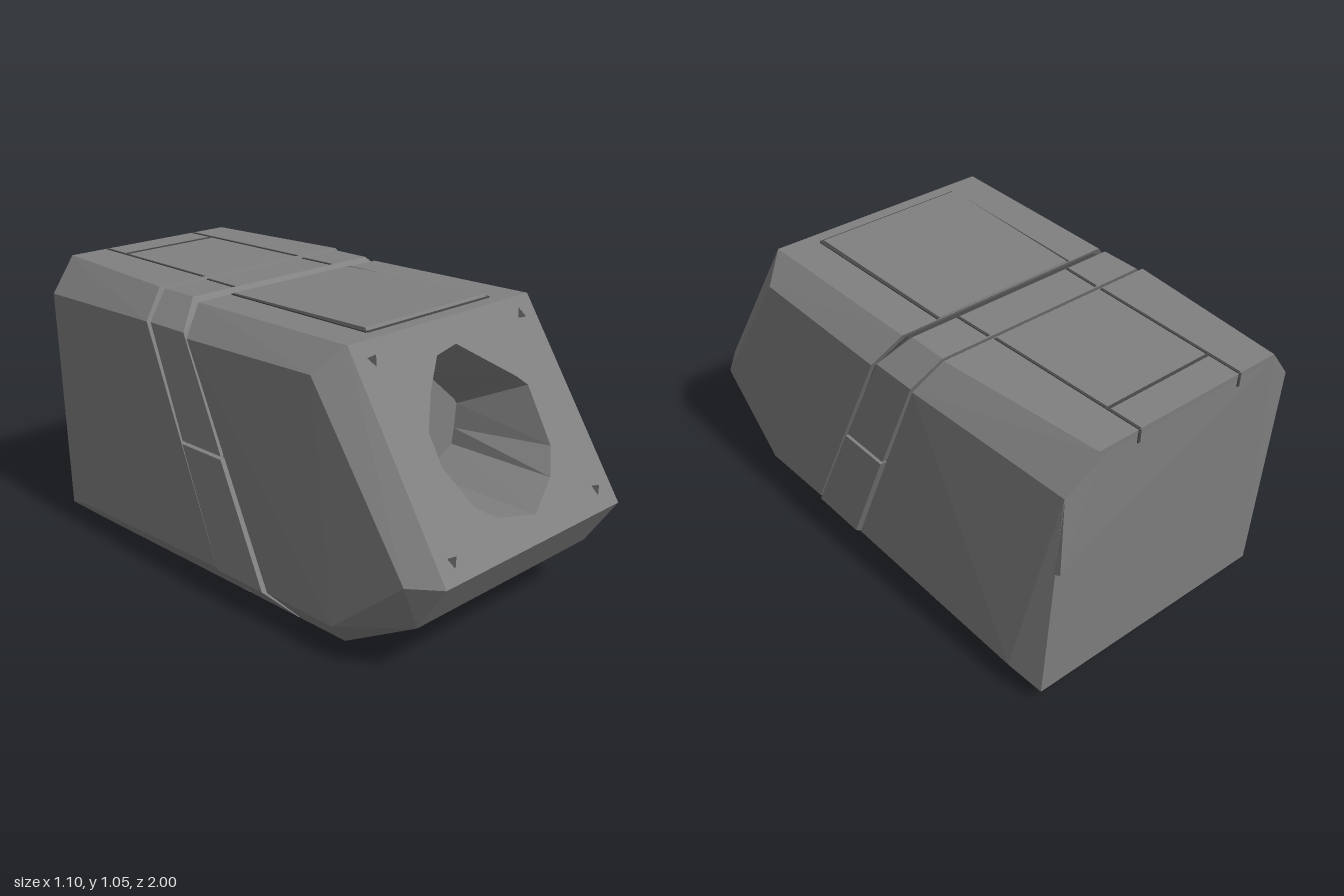
import * as THREE from 'three';
import { ConvexGeometry } from 'three/addons/geometries/ConvexGeometry.js';

export function createModel() {
  const model = new THREE.Group();
  model.name = 'facetedHousing';

  const shell = new THREE.MeshStandardMaterial({ color: 0x808080 });
  shell.name = 'shell grey';
  const seam = new THREE.MeshStandardMaterial({ color: 0x484848 });
  seam.name = 'seam grey';

  const add = (name, geometry, material = shell, parent = model) => {
    const mesh = new THREE.Mesh(geometry, material);
    mesh.name = name;
    parent.add(mesh);
    return mesh;
  };

  // Points given for the +x side are mirrored across the centre
  const mirrored = (points) => points.flatMap(([x, y, z]) =>
    [new THREE.Vector3(x, y, z), new THREE.Vector3(-x, y, z)]);
  const hull = (points) => new ConvexGeometry(mirrored(points));

  // Slanted seams and the sloping front face, as z for a given height
  const seamFront = (y) => 0.335 - 0.48 * y;
  const seamRear = (y) => 0.08 - 0.42 * y;
  const faceZ = (y) => 1 - (y - 0.37) * 0.43 / 0.67;
  const gap = 0.008;

  // Chamfered cross-section lying in a slanted plane
  const section = (zAt, offset, top = 1.05, inset = 0) =>
    [[0.44, top], [0.535, top - 0.1], [0.54, 0.12], [0.43, 0]].map(([x, y]) => {
      const yy = y + (y > 0.5 ? -inset : inset);
      return [x - inset, yy, zAt(yy) + offset];
    });

  // Front block: convex shell with its sloping face left open
  const frontHull = hull([
    [0.45, 1.04, faceZ(1.04)], [0.46, 0.37, 1],
    [0.54, 0.95, 0.5], [0.54, 0.37, 0.9],
    [0.45, 0.19, 0.88], [0.545, 0.12, 0.6], [0.43, 0, 0.55],
    ...section(seamFront, gap, 1.035),
  ]);
  const pos = frontHull.attributes.position;
  const kept = [];
  for (let i = 0; i < pos.count; i += 3) {
    const onFace = [0, 1, 2].every((k) => Math.abs(pos.getZ(i + k) - faceZ(pos.getY(i + k))) < 1e-3);
    if (!onFace) for (let k = 0; k < 3; k++) kept.push(pos.getX(i + k), pos.getY(i + k), pos.getZ(i + k));
  }
  const frontShell = new THREE.BufferGeometry();
  frontShell.setAttribute('position', new THREE.Float32BufferAttribute(kept, 3));
  frontShell.computeVertexNormals();
  add('frontBlock', frontShell);

  // Recess outline, anticlockwise: rim x, y then floor x, y
  const recess = [
    [0.005, 0.96, 0.02, 0.825], [-0.1, 0.945, -0.06, 0.797], [-0.19, 0.86, -0.14, 0.77],
    [-0.27, 0.76, -0.18, 0.69], [-0.275, 0.66, -0.205, 0.64], [-0.21, 0.53, -0.165, 0.56],
    [-0.13, 0.48, -0.125, 0.485], [0.04, 0.445, 0.04, 0.447], [0.18, 0.52, 0.175, 0.522],
    [0.245, 0.6, 0.185, 0.58], [0.26, 0.785, 0.195, 0.67], [0.22, 0.82, 0.18, 0.69],
  ];

  // Sloping front face with the opening cut through it
  const faceLength = Math.hypot(0.67, 0.43);
  const slope = faceLength / 0.67;
  const faceShape = new THREE.Shape([[-0.46, 0], [0.46, 0], [0.45, faceLength], [-0.45, faceLength]]
    .map(([x, y]) => new THREE.Vector2(x, y)));
  faceShape.holes.push(new THREE.Path(recess.map(([x, y]) => new THREE.Vector2(x, (y - 0.37) * slope))));
  const face = new THREE.Group();
  face.name = 'frontFace';
  face.position.set(0, 0.37, 1);
  face.rotation.x = -Math.atan2(0.43, 0.67);
  model.add(face);
  add('facePlate', new THREE.ShapeGeometry(faceShape), shell, face);

  // Small triangular nicks in the four face corners
  for (const [x, y, turn] of [[-0.375, 0.985, 0.6], [0.37, 0.985, 1.5], [-0.39, 0.43, 0.4], [0.375, 0.435, 2.4]]) {
    const nick = add('cornerNick', new THREE.CircleGeometry(0.024, 3), seam, face);
    nick.position.set(x, (y - 0.37) * slope, 0.003);
    nick.rotation.z = turn;
  }

  // Faceted walls and floor of the recess
  const floorZ = 0.48;
  const walls = [];
  const floor = [];
  recess.forEach(([x, y, u, v], i) => {
    const [x2, y2, u2, v2] = recess[(i + 1) % recess.length];
    const a = [x, y, faceZ(y)], b = [x2, y2, faceZ(y2)];
    const c = [u2, v2, floorZ], d = [u, v, floorZ];
    walls.push(...a, ...b, ...c, ...a, ...c, ...d);
    floor.push(...d, ...c, 0, 0.63, floorZ);
  });
  for (const [name, data] of [['recessWalls', walls], ['recessFloor', floor]]) {
    const geometry = new THREE.BufferGeometry();
    geometry.setAttribute('position', new THREE.Float32BufferAttribute(data, 3));
    geometry.computeVertexNormals();
    add(name, geometry);
  }

  // Slanted middle band in two pieces, with a narrow split at mid height
  const band = (y, x) => [[x, y, seamFront(y) - gap], [x, y, seamRear(y) + gap]];
  add('upperBand', hull([
    ...band(0.555, 0.54), ...band(0.95, 0.53),
    [0.42, 1.02, seamFront(1.02) - gap], [0.43, 1.045, -0.195], [0.43, 1.045, seamRear(1.045) + gap],
  ]));
  add('lowerBand', hull([...band(0.545, 0.545), ...band(0.12, 0.55), ...band(0, 0.43)]));

  // Inner core seen at the bottom of the seams
  add('innerCore', hull([
    ...section(seamFront, 0.04, 1.04, 0.02), ...section(seamRear, -0.04, 1.05, 0.02),
  ]), seam);

  // Rear block, tapering towards the back
  add('rearBlock', hull([
    ...section(seamRear, -gap),
    [0.38, 1.05, -1], [0.49, 0.92, -0.98],
    [0.53, 0.1, -0.8], [0.5, 0.06, -0.93], [0.43, 0, -0.84],
  ]));
  // Shallow facet that stands proud on the left of the back
  add('rearFacet', new ConvexGeometry([
    [0.488, 0.92, -0.98], [0.492, 0.62, -0.982], [0.497, 0.6, -0.94],
    [-0.38, 1.04, -0.999], [0.37, 1.04, -0.999], [0.3, 0.85, -0.93],
  ].map((p) => new THREE.Vector3(...p))));

  // Slightly raised panel on top of the front block
  add('topPanel', hull([
    [0.3, 1.036, 0.51], [0.3, 1.052, 0.5], [0.285, 1.03, -0.15], [0.285, 1.04, -0.15],
  ]));

  // Thin strips that trace the panel seams
  const line = (name, from, to) => {
    const a = new THREE.Vector3(...from), b = new THREE.Vector3(...to);
    const strip = add(name, new THREE.BoxGeometry(0.01, 0.006, a.distanceTo(b)), seam);
    strip.position.copy(a).lerp(b, 0.5);
    strip.lookAt(b);
  };
  line('topPanelSeam', [-0.305, 1.04, 0.513], [0.305, 1.04, 0.513]);
  for (const s of [-1, 1]) {
    line('topPanelSeam', [s * 0.305, 1.04, 0.513], [s * 0.29, 1.036, -0.15]);
    line('bandTopSeam', [s * 0.243, 1.045, -0.197], [s * 0.238, 1.045, -0.345]);
    line('rearTopSeam', [s * 0.235, 1.05, -0.375], [s * 0.218, 1.05, -0.998]);
    line('rearTickSeam', [s * 0.218, 1.05, -0.999], [s * 0.218, 1.0, -0.998]);
  }
  line('rearCrossSeam', [-0.22, 1.05, -0.87], [0.22, 1.05, -0.87]);

  return model;
}
